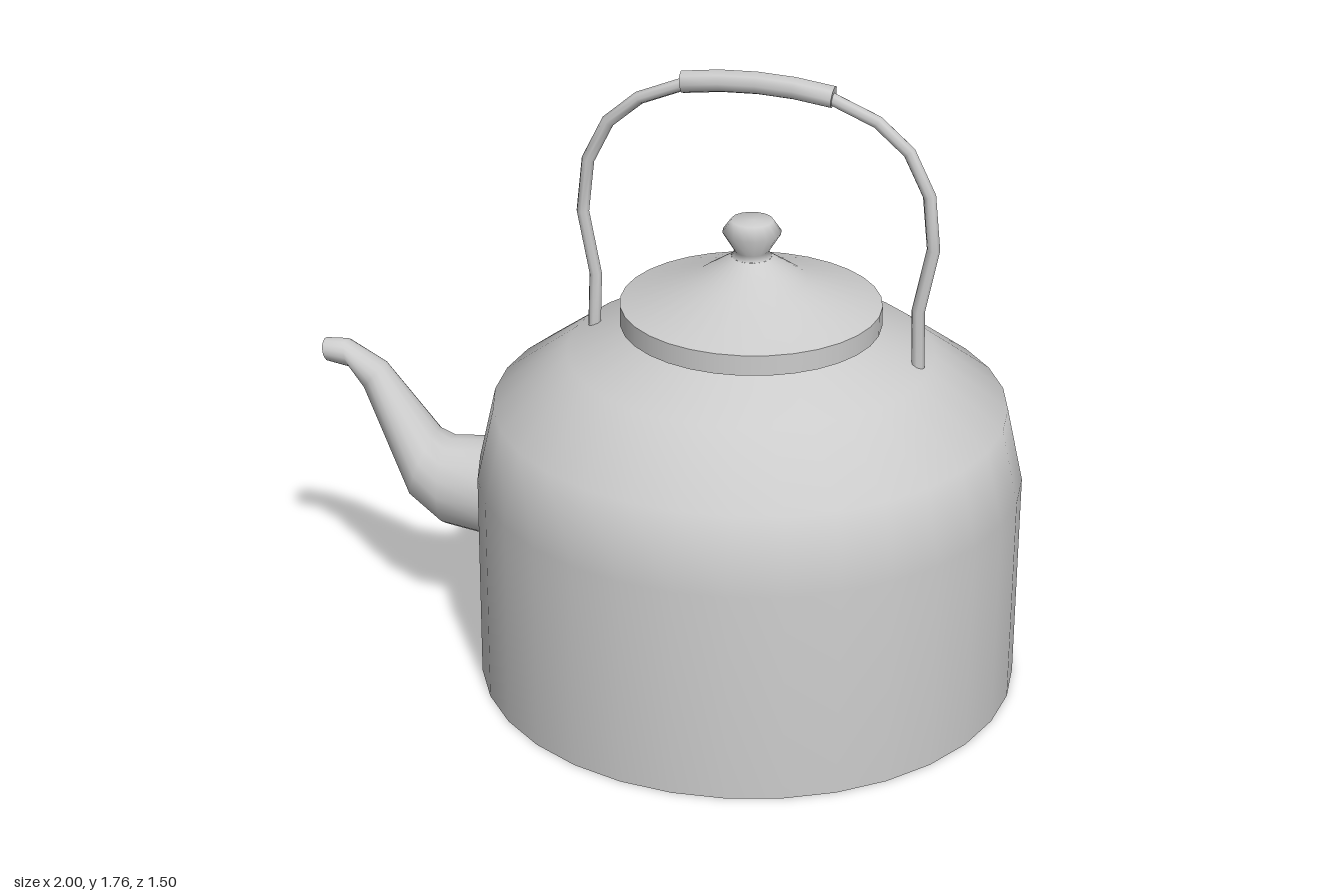
import * as THREE from 'three';

const AXIS = 0.25; // x of the pot's axis
const material = new THREE.MeshStandardMaterial({ color: 0xcccccc, side: THREE.DoubleSide });

function addMesh(group, name, geometry) {
  const mesh = new THREE.Mesh(geometry, material);
  mesh.name = name;
  group.add(mesh);
  return mesh;
}

function addLathe(group, name, profile, segments = 32) {
  const points = profile.map(([r, y]) => new THREE.Vector2(r, y));
  addMesh(group, name, new THREE.LatheGeometry(points, segments)).position.x = AXIS;
}

// Skin over elliptical rings: { x, y } centre, { ax, ay } half axis in the xy plane, hz half width
function loft(rings, sides) {
  const positions = [], index = [];
  rings.forEach(({ x, y, ax, ay, hz }, i) => {
    for (let j = 0; j < sides; j++) {
      const t = (j / sides) * Math.PI * 2, c = Math.cos(t);
      positions.push(x + ax * c, y + ay * c, hz * Math.sin(t));
      if (i === rings.length - 1) continue;
      const a = i * sides + j, b = i * sides + (j + 1) % sides;
      index.push(a, a + sides, b, b, a + sides, b + sides);
    }
  });
  const geometry = new THREE.BufferGeometry();
  geometry.setAttribute('position', new THREE.Float32BufferAttribute(positions, 3));
  geometry.setIndex(index);
  geometry.computeVertexNormals();
  return geometry;
}

const scaled = (r, s) => ({ ...r, ax: r.ax * s, ay: r.ay * s, hz: r.hz * s });

// Round bar along a path in the xy plane, closed at both ends
function bar(path, radius, sides) {
  const rings = path.map(([x, y], i) => {
    const p = path[Math.max(i - 1, 0)], n = path[Math.min(i + 1, path.length - 1)];
    const dx = n[0] - p[0], dy = n[1] - p[1], k = radius / Math.hypot(dx, dy);
    return { x, y, ax: dy * k, ay: -dx * k, hz: radius };
  });
  const first = rings[0], last = rings[rings.length - 1];
  return loft([scaled(first, 0), first, ...rings, last, scaled(last, 0)], sides);
}

export function createModel() {
  const group = new THREE.Group();

  // Pot body with a flat base
  addLathe(group, 'body', [[0.75, 0], [0.75, 0.6], [0.703, 0.81], [0.5, 0.96], [0.32, 1.03], [0.315, 1.05]]);
  addLathe(group, 'base', [[0, 0], [0.75, 0]]);

  // Lid: underside, rim, sloping top and knob
  addLathe(group, 'lidUnderside', [[0.3, 1.035], [0.355, 1.043]]);
  addLathe(group, 'lidRim', [[0.355, 1.043], [0.355, 1.1]]);
  addLathe(group, 'lidTop', [[0.355, 1.1], [0.15, 1.172], [0.055, 1.235]]);
  addLathe(group, 'knob', [[0.055, 1.235], [0.046, 1.25], [0.08, 1.305], [0.057, 1.338], [0, 1.34]], 16);

  // Spout: upper edge x, y, lower edge x, y, half width
  const spout = [
    [-0.44, 0.587, -0.44, 0.288, 0.15],
    [-0.63, 0.565, -0.63, 0.31, 0.128],
    [-0.67, 0.585, -0.74, 0.382, 0.105],
    [-0.82, 0.775, -0.88, 0.7, 0.053],
    [-0.935, 0.835, -0.915, 0.755, 0.042],
    [-1, 0.83, -0.985, 0.765, 0.036],
  ].map(([ux, uy, lx, ly, hz]) => ({
    x: (ux + lx) / 2, y: (uy + ly) / 2, ax: (ux - lx) / 2, ay: (uy - ly) / 2, hz,
  }));
  const tip = spout[spout.length - 1];
  const lip = scaled(tip, 0.8);
  const inside = { ...lip, x: lip.x + 0.03, y: lip.y + 0.005 };
  addMesh(group, 'spout', loft([...spout, tip, lip, lip, inside, inside, scaled(inside, 0)], 16));

  // Bail handle, mirrored about its own centre line
  const centre = 0.26;
  const half = [[0.455, 0.96], [0.45, 1.13], [0.485, 1.31], [0.469, 1.46], [0.412, 1.575], [0.325, 1.65], [0.2, 1.702]];
  const right = half.map(([x, y]) => [centre + x, y]);
  const left = half.map(([x, y]) => [centre - x, y]).reverse();
  addMesh(group, 'handle', bar([...right, [centre, 1.724], ...left], 0.018, 8));

  // Thicker grip on top of the handle
  const grip = [0.205, 0.1, 0, -0.1, -0.205].map((x) => [centre + x, 1.725 - 0.43 * x * x]);
  addMesh(group, 'grip', bar(grip, 0.031, 8));

  return group;
}
